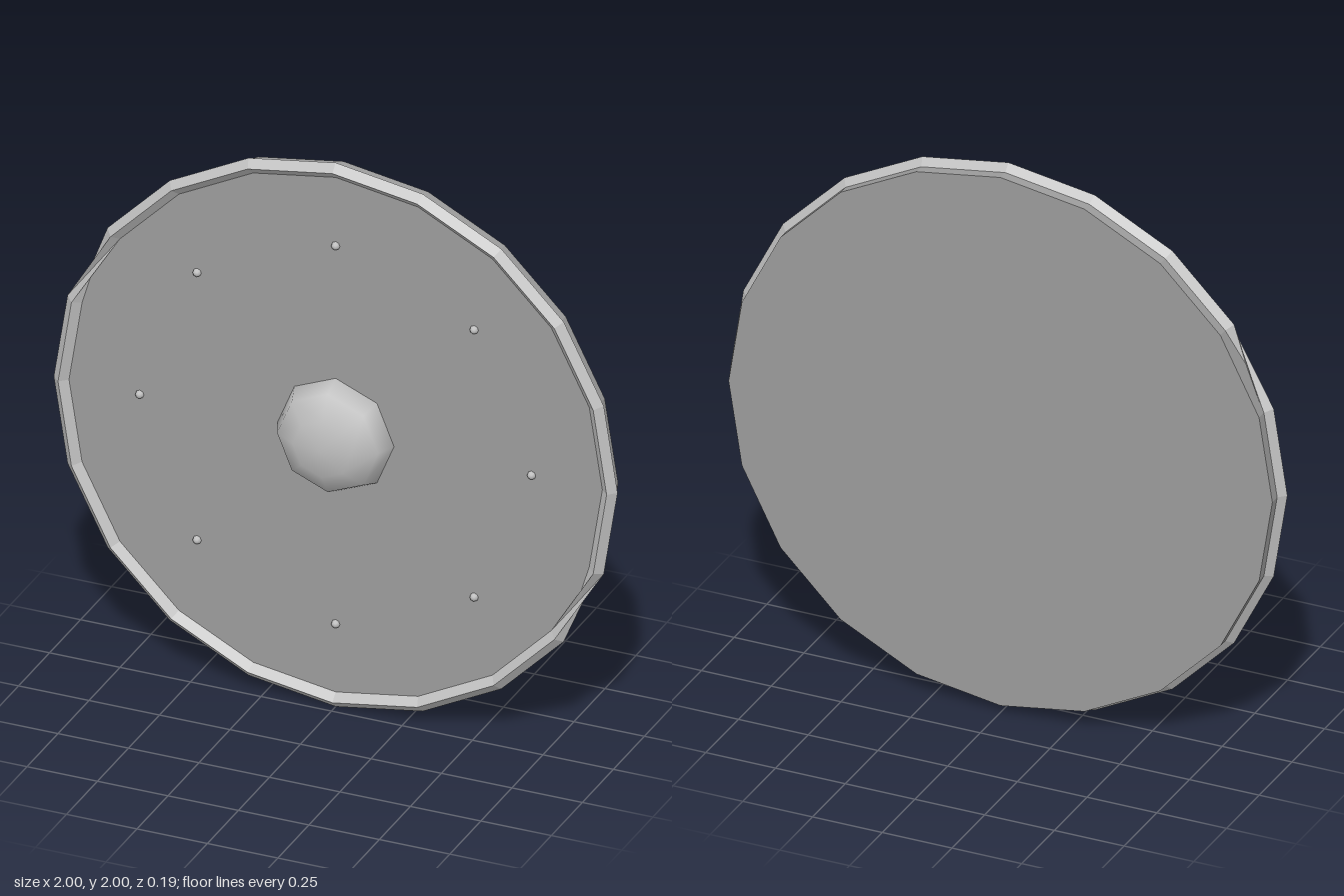
import * as THREE from 'three';

const SIDES = 20;
const FRONT = -0.034; // z of the plate's front face
const CENTRE_Y = 1;

// Give a geometry hard facets
function faceted(geometry) {
  const flat = geometry.index ? geometry.toNonIndexed() : geometry;
  flat.computeVertexNormals();
  return flat;
}

// Diamond-section ring whose section makes a half turn in two opposite segments
function twistedRing(radius, thickness) {
  const positions = [];
  const index = [];
  for (let i = 0; i < SIDES; i++) {
    const angle = (i / SIDES) * Math.PI * 2;
    const flip = i >= 9 && i <= 18 ? Math.PI : 0;
    for (let k = 0; k < 4; k++) {
      const phi = (k * Math.PI) / 2 + flip;
      const r = radius + thickness * Math.cos(phi);
      positions.push(r * Math.cos(angle), r * Math.sin(angle), thickness * Math.sin(phi));
      const next = ((i + 1) % SIDES) * 4;
      const a = i * 4 + k;
      const b = next + k;
      const c = next + ((k + 1) % 4);
      const d = i * 4 + ((k + 1) % 4);
      index.push(a, b, c, a, c, d);
    }
  }
  const geometry = new THREE.BufferGeometry();
  geometry.setAttribute('position', new THREE.Float32BufferAttribute(positions, 3));
  geometry.setIndex(index);
  return faceted(geometry);
}

export function createModel() {
  const model = new THREE.Group();
  model.name = 'roundShield';

  const plateGrey = new THREE.MeshStandardMaterial({ color: 0x9c9c9c });
  plateGrey.name = 'plate grey';
  const metalGrey = new THREE.MeshStandardMaterial({ color: 0xc0c0c0, side: THREE.DoubleSide });
  metalGrey.name = 'light metal grey';

  const add = (name, geometry, material, x, y, z) => {
    const mesh = new THREE.Mesh(geometry, material);
    mesh.name = name;
    mesh.position.set(x, CENTRE_Y + y, z);
    model.add(mesh);
    return mesh;
  };

  // Flat round plate
  const depth = 0.062;
  const plate = new THREE.CylinderGeometry(0.975, 0.975, depth, SIDES);
  plate.rotateX(Math.PI / 2);
  add('plate', faceted(plate), plateGrey, 0, 0, FRONT - depth / 2);

  // Raised rim
  add('rim', twistedRing(0.973, 0.027), metalGrey, 0, 0, FRONT);

  // Central boss: flattened smooth half dome
  const dome = new THREE.SphereGeometry(0.207, 8, 3, 0, Math.PI * 2, 0, Math.PI / 2);
  dome.rotateX(Math.PI / 2);
  dome.scale(1, 1, 0.13 / 0.207);
  add('boss', dome, metalGrey, 0, 0, FRONT);

  // Ring of eight studs
  const stud = new THREE.SphereGeometry(0.015, 8, 6);
  stud.rotateX(Math.PI / 2);
  for (let i = 0; i < 8; i++) {
    const angle = (i / 8) * Math.PI * 2;
    add('stud', stud, metalGrey, 0.695 * Math.cos(angle), 0.695 * Math.sin(angle), FRONT);
  }

  return model;
}
